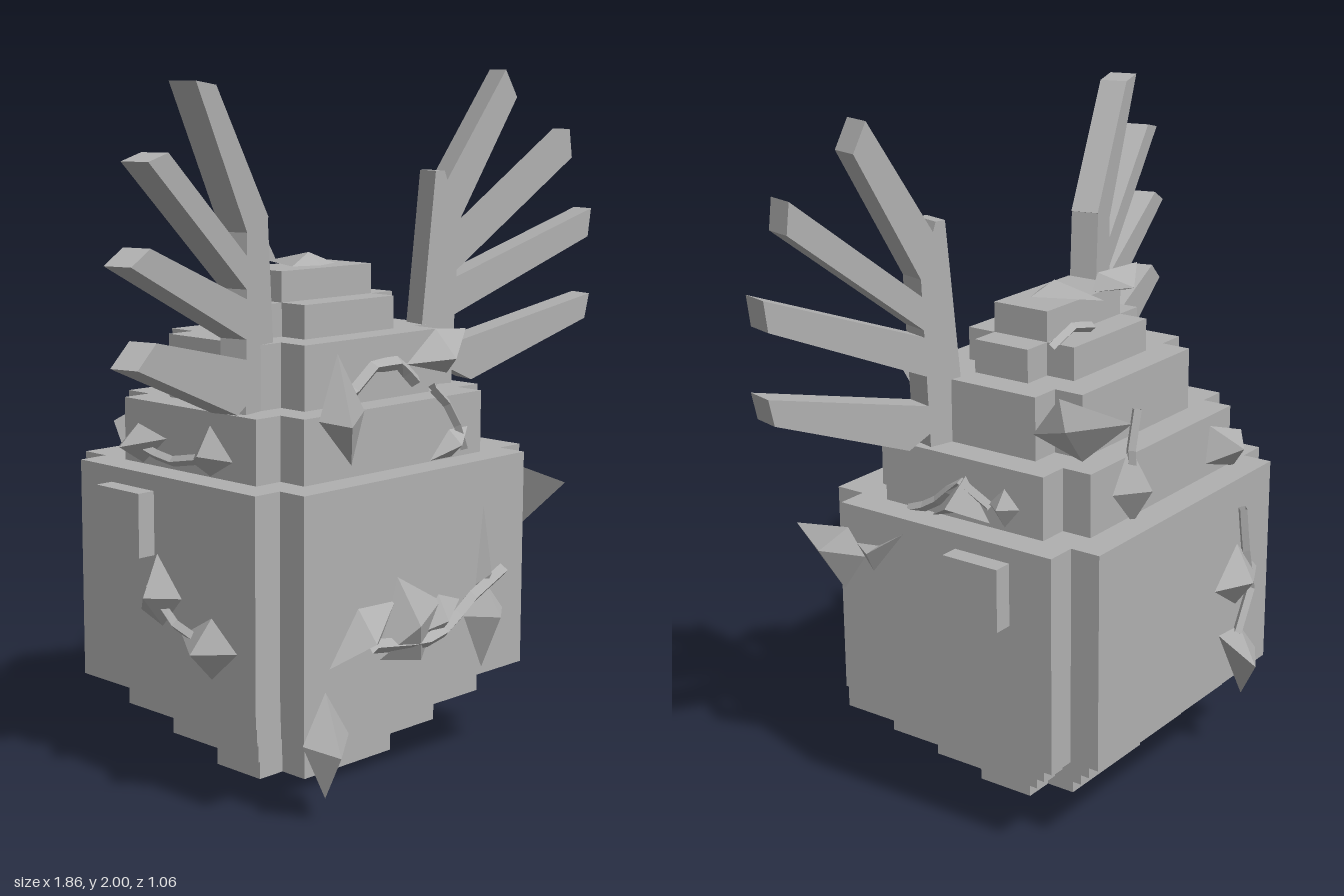
import * as THREE from 'three';

const stone = new THREE.MeshStandardMaterial({ color: 0xb0b0b0, flatShading: true, side: THREE.DoubleSide });
stone.name = 'plain grey';

const CX = 0.01; // the body sits a hair off the centre line

function add(parent, name, geometry) {
  const mesh = new THREE.Mesh(geometry, stone);
  mesh.name = name;
  parent.add(mesh);
  return mesh;
}

function box(parent, name, x, z, y0, y1, px = CX, pz = 0) {
  add(parent, name, new THREE.BoxGeometry(2 * x, y1 - y0, 2 * z)).position.set(px, (y0 + y1) / 2, pz);
}

// Maps a flat (u, v) point at distance d from the centre onto one side of the body
const onSide = {
  front: (u, v, d) => [u, v, d],
  back: (u, v, d) => [u, v, -d],
  right: (u, v, d) => [-d, v, u],
  left: (u, v, d) => [d, v, u],
  top: (u, v, d) => [u, d, v],
};

// Faceted leaf: four-cornered outline with a raised point
function leaf(parent, side, d, outline, apex, rise = 0.07) {
  const put = onSide[side];
  const rim = outline.map(([u, v]) => put(u, v, d));
  const tip = put(apex[0], apex[1], d + rise);
  const pos = [];
  for (let i = 0; i < 4; i++) pos.push(...rim[i], ...rim[(i + 1) % 4], ...tip);
  pos.push(...rim[0], ...rim[2], ...rim[1], ...rim[0], ...rim[3], ...rim[2]);
  // keep every triangle facing away from the middle of the leaf
  const mid = new THREE.Vector3(...tip);
  rim.forEach((p) => mid.add(new THREE.Vector3(...p)));
  mid.divideScalar(5);
  for (let i = 0; i < pos.length; i += 9) {
    const [a, b, c] = [0, 3, 6].map((k) => new THREE.Vector3().fromArray(pos, i + k));
    const n = b.clone().sub(a).cross(c.clone().sub(a));
    if (n.dot(a.clone().sub(mid)) < 0) {
      b.toArray(pos, i + 6);
      c.toArray(pos, i + 3);
    }
  }
  const g = new THREE.BufferGeometry();
  g.setAttribute('position', new THREE.Float32BufferAttribute(pos, 3));
  g.computeVertexNormals();
  add(parent, 'leaf', g);
}

// Thin angular stem through flat points
function stem(parent, side, d, points, r = 0.015) {
  const path = new THREE.CurvePath();
  const pts = points.map(([u, v]) => new THREE.Vector3(...onSide[side](u, v, d)));
  for (let i = 1; i < pts.length; i++) path.add(new THREE.LineCurve3(pts[i - 1], pts[i]));
  add(parent, 'stem', new THREE.TubeGeometry(path, (pts.length - 1) * 2, r, 4));
}

// Flat wing plate, swept forward towards its tip
function plate(parent, name, s, outline) {
  const shape = new THREE.Shape(outline.map(([x, y]) => new THREE.Vector2(s * x, y)));
  const g = new THREE.ExtrudeGeometry(shape, { depth: 0.08, bevelEnabled: false });
  const p = g.attributes.position;
  for (let i = 0; i < p.count; i++) {
    const x = p.getX(i), t = p.getZ(i) - 0.04;
    p.setX(i, x - s * 0.26 * t);
    p.setZ(i, 0.125 + 0.265 * (Math.abs(x) - 0.29) + t);
  }
  g.computeVertexNormals();
  add(parent, name, g);
}

export function createModel() {
  const model = new THREE.Group();
  model.name = 'wingedEgg';

  // Stepped egg: every tier is a cross of two boxes
  const body = new THREE.Group();
  body.name = 'body';
  model.add(body);
  const tiers = [
    [0, 0.095, 0.27, 0.18], [0.095, 0.185, 0.36, 0.27], [0.185, 0.275, 0.45, 0.36],
    [0.275, 0.905, 0.54, 0.45], [0.905, 1.085, 0.45, 0.36], [1.085, 1.265, 0.36, 0.27],
    [1.265, 1.36, 0.27, 0.18],
  ];
  for (const [y0, y1, x, z] of tiers) {
    box(body, 'tierWide', x, z - 0.09, y0, y1);
    box(body, 'tierDeep', x - 0.09, z, y0, y1);
  }
  box(body, 'cap', 0.18, 0.09, 1.36, 1.447);
  for (const s of [-1, 1]) box(body, 'sideKnob', 0.04, 0.09, 0.68, 0.86, CX + s * 0.555, -0.133);

  // Wings: a post with four feathers each
  const wings = [
    [-1, 'rightWing', [
      [[0.27, 1.07], [0.31, 1.61], [0.41, 1.59], [0.42, 1.07]],
      [[0.305, 1.605], [0.55, 1.955], [0.64, 1.965], [0.41, 1.57]],
      [[0.4, 1.5], [0.76, 1.79], [0.845, 1.77], [0.4, 1.41]],
      [[0.4, 1.39], [0.84, 1.56], [0.92, 1.52], [0.4, 1.28]],
      [[0.4, 1.23], [0.82, 1.325], [0.9, 1.265], [0.46, 1.09], [0.4, 1.12]],
    ]],
    [1, 'leftWing', [
      [[0.31, 1.07], [0.37, 1.71], [0.4, 1.71], [0.45, 1.56], [0.43, 1.07]],
      [[0.37, 1.62], [0.605, 2], [0.645, 1.92], [0.45, 1.56]],
      [[0.42, 1.49], [0.835, 1.825], [0.845, 1.74], [0.42, 1.4]],
      [[0.42, 1.39], [0.92, 1.585], [0.91, 1.5], [0.42, 1.28]],
      [[0.42, 1.2], [0.92, 1.325], [0.905, 1.25], [0.5, 1.09], [0.42, 1.13]],
    ]],
  ];
  for (const [s, name, parts] of wings) {
    const wing = new THREE.Group();
    wing.name = name;
    model.add(wing);
    parts.forEach((o, i) => plate(wing, i ? 'feather' : 'wingPost', s, o));
  }

  const vines = new THREE.Group();
  vines.name = 'vines';
  model.add(vines);
  const L = (...a) => leaf(vines, ...a);
  const S = (...a) => stem(vines, ...a);

  // Front, lower cluster
  L('front', 0.46, [[-0.37, 0.365], [-0.28, 0.23], [-0.37, 0.07], [-0.455, 0.235]], [-0.38, 0.2]);
  L('front', 0.46, [[0.265, 0.57], [0.36, 0.46], [0.27, 0.3], [0.19, 0.465]], [0.27, 0.46]);
  L('front', 0.46, [[-0.355, 0.425], [-0.245, 0.57], [-0.1, 0.565], [-0.16, 0.46]], [-0.245, 0.485]);
  L('front', 0.46, [[-0.09, 0.63], [0.09, 0.53], [0.01, 0.375], [-0.16, 0.41]], [-0.07, 0.5]);
  L('front', 0.46, [[-0.02, 0.45], [0.08, 0.55], [0.17, 0.52], [0.08, 0.43]], [0.08, 0.48], 0.04);
  L('front', 0.46, [[0.27, 0.775], [0.29, 0.59], [0.27, 0.52], [0.24, 0.55]], [0.275, 0.58], 0.03);
  S('front', 0.475, [[-0.2, 0.46], [0, 0.43], [0.1, 0.45], [0.2, 0.52], [0.34, 0.58]], 0.02);

  // Front, shoulder
  L('front', 0.37, [[-0.235, 1.25], [-0.13, 1.085], [-0.18, 0.94], [-0.305, 1.075]], [-0.25, 1.06]);
  L('front', 0.35, [[0.06, 1.19], [0.18, 1.28], [0.31, 1.27], [0.23, 1.15]], [0.19, 1.2]);
  L('front', 0.37, [[0.14, 0.91], [0.22, 0.99], [0.3, 0.99], [0.23, 0.91]], [0.22, 0.95], 0.05);
  S('front', 0.31, [[-0.2, 1.1], [-0.11, 1.13], [-0.03, 1.19], [0.07, 1.19], [0.14, 1.13]], 0.02);
  S('front', 0.375, [[0.14, 1.12], [0.2, 1.07], [0.25, 1.0], [0.28, 0.93]]);

  // Left side
  L('left', 0.56, [[0.525, 0.81], [0.33, 0.84], [0.27, 0.765], [0.35, 0.65]], [0.38, 0.78]);
  L('left', 0.56, [[0.3, 0.8], [0.22, 0.81], [0.13, 0.865], [0.24, 0.73]], [0.24, 0.79], 0.03);
  L('left', 0.47, [[-0.02, 1.04], [-0.1, 0.92], [0, 0.93], [0.1, 0.9]], [0, 0.96]);
  L('left', 0.38, [[-0.18, 1.165], [-0.265, 1.28], [-0.495, 1.255], [-0.34, 1.12]], [-0.32, 1.21], 0.05);
  L('left', 0.47, [[-0.1, 0.98], [-0.15, 1.03], [-0.2, 0.98], [-0.15, 0.92]], [-0.15, 0.98], 0.04);
  S('left', 0.47, [[0.18, 0.9], [0.1, 0.93], [0, 1.02], [-0.1, 0.97]]);

  // Back
  L('back', 0.46, [[-0.12, 0.6], [-0.24, 0.71], [-0.36, 0.6], [-0.24, 0.52]], [-0.22, 0.61]);
  L('back', 0.46, [[-0.15, 0.45], [-0.27, 0.44], [-0.37, 0.33], [-0.29, 0.21]], [-0.25, 0.33]);
  S('back', 0.47, [[-0.25, 0.82], [-0.27, 0.7], [-0.31, 0.55], [-0.24, 0.43]]);
  L('back', 0.37, [[0.2, 1.12], [0.28, 1.0], [0.18, 0.89], [0.1, 0.98]], [0.19, 1]);
  L('back', 0.37, [[-0.22, 1.06], [-0.4, 1.0], [-0.36, 0.9], [-0.2, 0.95]], [-0.3, 0.98]);
  S('back', 0.38, [[0.18, 1.22], [0.21, 1.1], [0.19, 1.0]]);

  // Right side
  L('right', 0.54, [[0.08, 0.48], [0.2, 0.55], [0.3, 0.47], [0.2, 0.38]], [0.19, 0.46]);
  L('right', 0.54, [[-0.02, 0.69], [0.08, 0.58], [0, 0.49], [-0.09, 0.52]], [0, 0.58]);
  S('right', 0.55, [[-0.04, 0.6], [0.06, 0.51], [0.2, 0.47]]);
  L('right', 0.45, [[-0.28, 0.95], [-0.2, 1.02], [-0.08, 0.99], [-0.18, 0.91]], [-0.2, 0.96]);
  L('right', 0.45, [[0.02, 0.94], [0.1, 1.05], [0.19, 0.96], [0.1, 0.91]], [0.1, 0.97], 0.05);
  S('right', 0.46, [[-0.18, 0.96], [-0.06, 0.93], [0.1, 0.96]]);

  // Crown
  L('back', 0.1, [[-0.24, 1.5], [-0.04, 1.51], [-0.01, 1.46], [-0.19, 1.43]], [-0.12, 1.46]);
  L('top', 1.45, [[0.015, -0.16], [0.1, 0.03], [0.015, 0.06], [-0.07, 0.03]], [0.015, 0.01], 0.035);
  S('back', 0.14, [[0.05, 1.38], [0.14, 1.4], [0.23, 1.37]]);

  return model;
}
